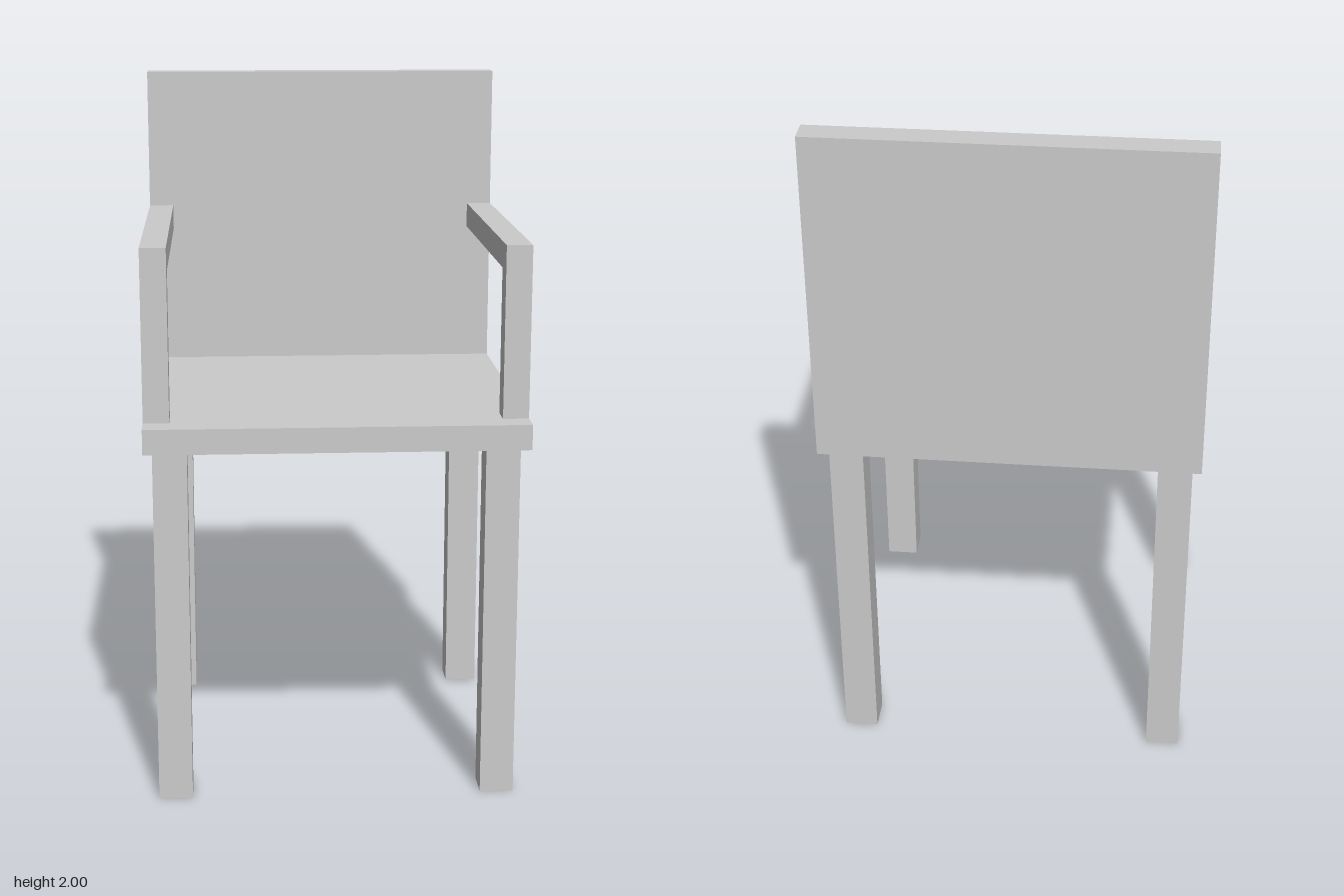
import * as THREE from 'three';

export function createModel() {
  const model = new THREE.Group();
  const solid = new THREE.MeshStandardMaterial({ color: 0xcccccc, flatShading: true });
  const open = new THREE.MeshStandardMaterial({ color: 0xcccccc, flatShading: true, side: THREE.DoubleSide });

  const add = (name, geometry, material = solid) => {
    const mesh = new THREE.Mesh(geometry, material);
    mesh.name = name;
    model.add(mesh);
    return mesh;
  };
  // Box given by its lower and upper corners
  const slab = (name, [x0, y0, z0], [x1, y1, z1]) =>
    add(name, new THREE.BoxGeometry(x1 - x0, y1 - y0, z1 - z0))
      .position.set((x0 + x1) / 2, (y0 + y1) / 2, (z0 + z1) / 2);

  const halfW = 0.537, halfD = 0.513, bar = 0.073;
  const seatBottom = 1.027, seatTop = 1.099, armTop = 1.587;
  const backFront = -halfD + bar, postFront = 0.44;

  // Seat, and a back panel reaching down to the seat's underside
  slab('seat', [-halfW, seatBottom, backFront], [halfW, seatTop, halfD]);
  slab('back', [-halfW, seatBottom, -halfD], [halfW, 2, backFront]);

  // Armrests: an L-shaped side profile (shape x = -z), extruded across the width
  const profile = new THREE.Shape([
    [-postFront, seatTop], [-postFront + bar, seatTop], [-postFront + bar, armTop - bar],
    [-backFront, armTop - bar], [-backFront, armTop], [-postFront, armTop],
  ].map(([x, y]) => new THREE.Vector2(x, y)));
  const armGeometry = new THREE.ExtrudeGeometry(profile, { depth: bar, bevelEnabled: false })
    .rotateY(Math.PI / 2);
  add('leftArmrest', armGeometry).position.x = halfW - bar;
  add('rightArmrest', armGeometry).position.x = -halfW;

  // Legs: square tubes, open at the floor
  const legWidth = 0.096;
  const legGeometry = new THREE.CylinderGeometry(
    legWidth / Math.SQRT2, legWidth / Math.SQRT2, seatBottom, 4, 1, true, Math.PI / 4);
  for (const [side, x] of [['Left', 0.461], ['Right', -0.464]]) {
    for (const [end, z] of [['front', 0.439], ['back', -0.434]]) {
      add(`${end}${side}Leg`, legGeometry, open).position.set(x, seatBottom / 2, z);
    }
  }
  return model;
}
